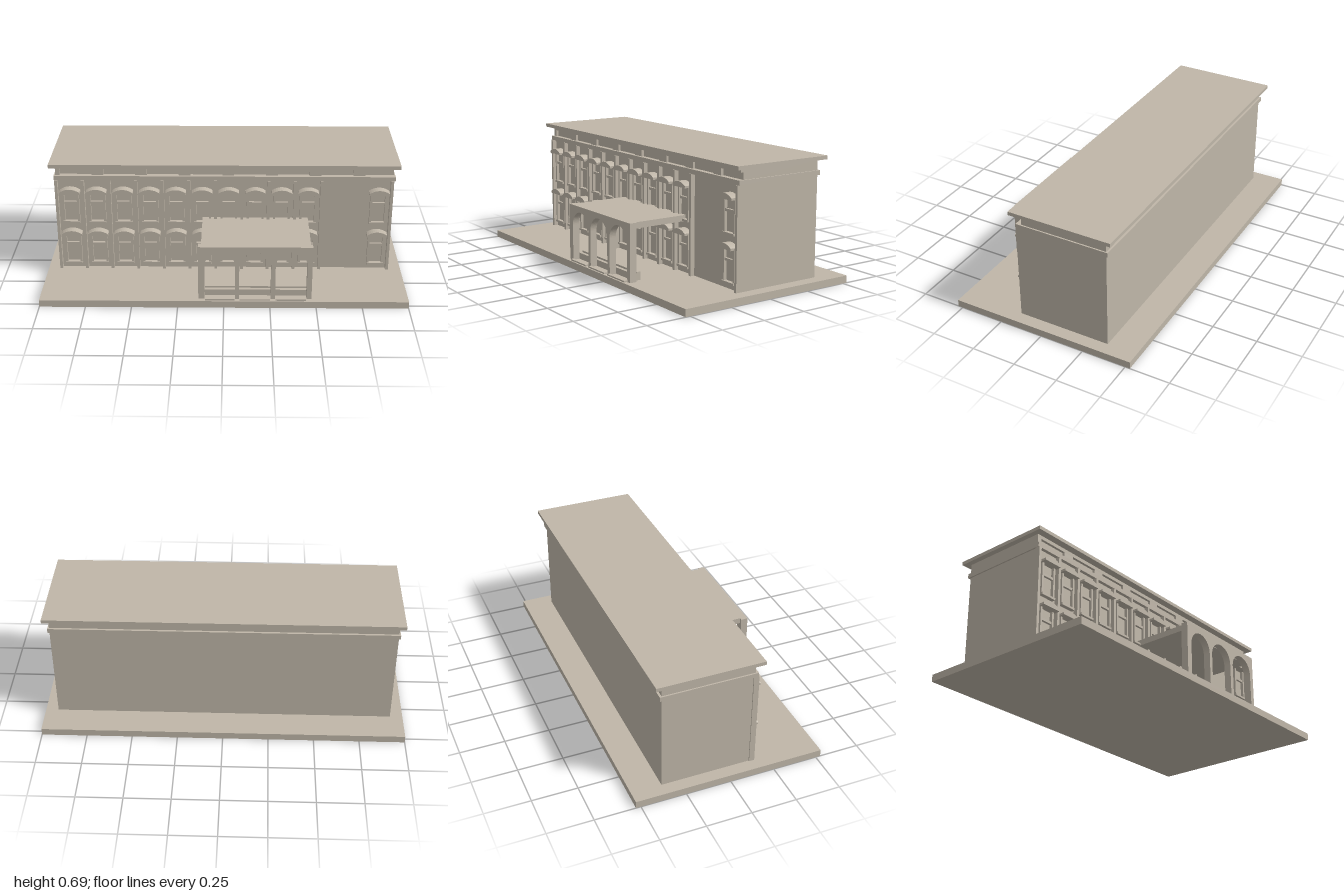
import * as THREE from 'three';

const stone = new THREE.MeshStandardMaterial({ color: 0xbfb6a8 });
stone.name = 'warm stone';

function add(parent, name, geometry) {
  const mesh = new THREE.Mesh(geometry, stone);
  mesh.name = name;
  parent.add(mesh);
  return mesh;
}

// Box given by its limits on each axis
function box(parent, name, x0, x1, y0, y1, z0, z1) {
  const mesh = add(parent, name, new THREE.BoxGeometry(x1 - x0, y1 - y0, z1 - z0));
  mesh.position.set((x0 + x1) / 2, (y0 + y1) / 2, (z0 + z1) / 2);
  return mesh;
}

function group(parent, name) {
  const g = new THREE.Group();
  g.name = name;
  parent.add(g);
  return g;
}

// Window with a segmental hood; y = 0 is the underside of the hood
function addWindow(parent, x, y) {
  const w = group(parent, 'window');
  w.position.set(x, y, 0.135);
  const s = new THREE.Shape();
  s.moveTo(-0.056, 0);
  s.lineTo(0.056, 0);
  s.lineTo(0.056, 0.012);
  s.quadraticCurveTo(0, 0.05, -0.056, 0.012);
  s.closePath();
  add(w, 'hood', new THREE.ExtrudeGeometry(s, { depth: 0.052, bevelEnabled: false, curveSegments: 10 }));
  for (const side of [-1, 1]) {
    const c = side * 0.041;
    box(w, 'jamb', c - 0.006, c + 0.006, -0.18, 0, 0, 0.022);
  }
  box(w, 'crossbar', -0.035, 0.035, -0.07, -0.056, 0, 0.018);
  box(w, 'sill', -0.047, 0.047, -0.186, -0.174, 0, 0.028);
}

export function createModel() {
  const model = new THREE.Group();
  model.name = 'arcadedBuilding';

  // Ground slab and main block
  box(model, 'base', -1, 1, 0, 0.04, -0.527, 0.527);
  box(model, 'mainBlock', -0.93, 0.93, 0.04, 0.59, -0.36, 0.14);
  box(model, 'cornice', -0.938, 0.938, 0.588, 0.613, -0.372, 0.16);
  box(model, 'roof', -0.96, 0.96, 0.67, 0.69, -0.4, 0.187);

  // Attic with recessed panels between short piers, open at the left end
  const attic = group(model, 'attic');
  box(attic, 'atticCore', -0.93, 0.93, 0.613, 0.67, -0.36, 0.13);
  box(attic, 'atticBand', -0.93, 0.93, 0.65, 0.67, 0.13, 0.145);
  box(attic, 'atticPier', -0.93, -0.906, 0.613, 0.65, 0.13, 0.145);
  for (let i = 0; i < 7; i++) {
    const x = -0.73 + i * 0.2396;
    box(attic, 'atticPier', x, x + 0.064, 0.613, 0.65, 0.13, 0.145);
  }

  // Pilasters and two storeys of windows
  const facade = group(model, 'facade');
  const pilasters = [0.922];
  for (let i = 0; i <= 10; i++) pilasters.push(-0.928 + i * 0.1464);
  for (const x of pilasters) box(facade, 'pilaster', x - 0.008, x + 0.008, 0.04, 0.588, 0.135, 0.165);
  const windows = [0.853];
  for (let i = 0; i < 10; i++) windows.push(-0.854 + i * 0.1464);
  for (const x of windows) for (const y of [0.511, 0.256]) addWindow(facade, x, y);

  // Porch roof and arcade with three round arches
  const porch = group(model, 'porch');
  box(porch, 'porchRoof', -0.122, 0.465, 0.322, 0.355, 0.14, 0.462);
  const bays = [[-0.104, 0.061], [0.083, 0.254], [0.278, 0.448]];
  const s = new THREE.Shape();
  s.moveTo(-0.138, 0.04);
  for (const [a, b] of bays) {
    const r = (b - a) / 2;
    s.lineTo(a, 0.04);
    s.lineTo(a, 0.24);
    s.absarc(a + r, 0.24, r, Math.PI, 0, true);
    s.lineTo(b, 0.04);
  }
  s.lineTo(0.475, 0.04);
  s.lineTo(0.475, 0.355);
  s.lineTo(-0.138, 0.355);
  s.closePath();
  const arcade = add(porch, 'arcade', new THREE.ExtrudeGeometry(s, { depth: 0.04, bevelEnabled: false, curveSegments: 16 }));
  arcade.position.z = 0.46;

  // Low bench behind the arches, thin step in front of each
  for (const [a, b] of bays) box(porch, 'step', a + 0.003, b - 0.003, 0.04, 0.048, 0.5, 0.518);
  box(porch, 'benchSeat', -0.104, 0.45, 0.04, 0.075, 0.44, 0.46);
  box(porch, 'benchBack', -0.104, 0.45, 0.04, 0.085, 0.418, 0.44);

  return model;
}
